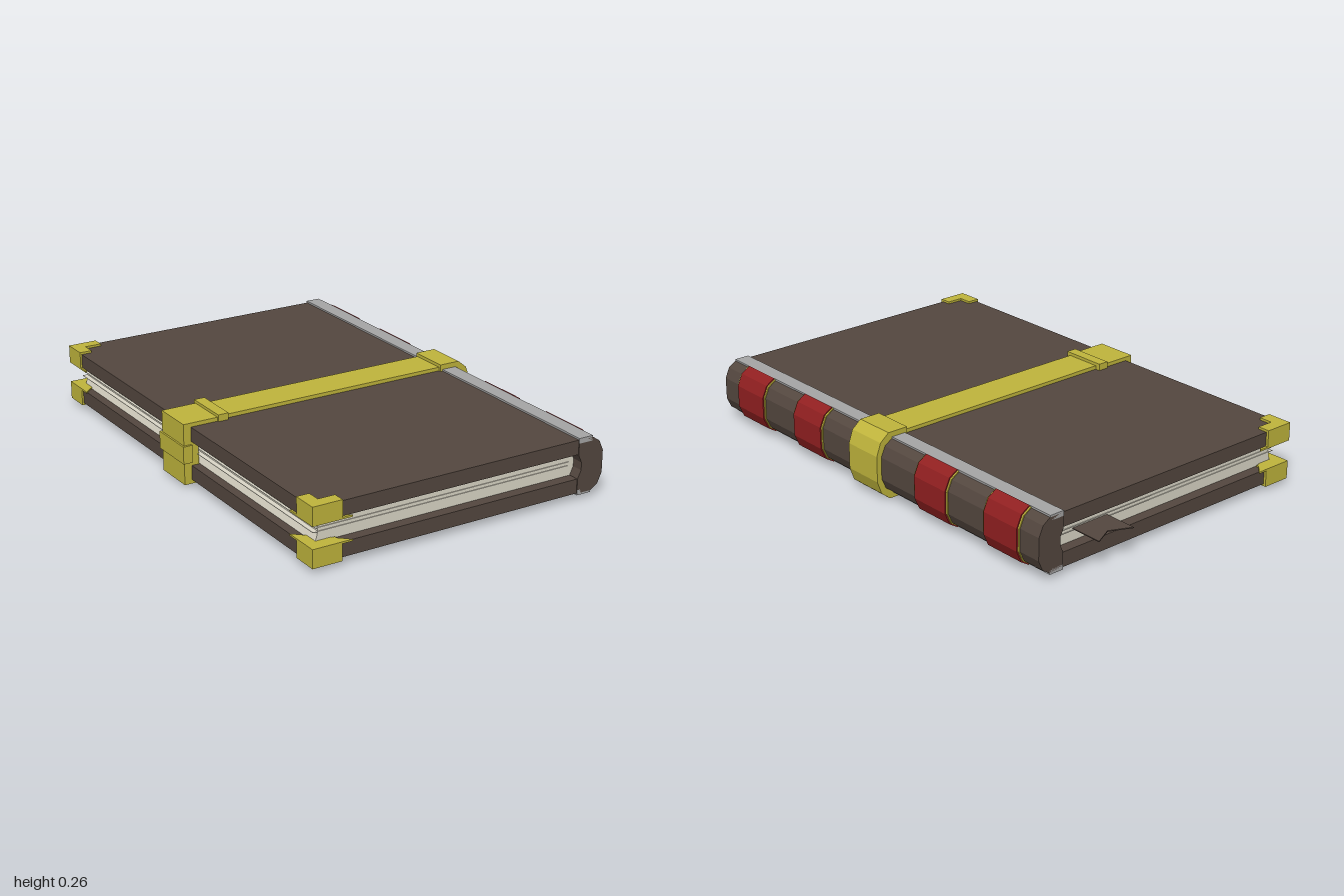
import * as THREE from 'three';

const mat = (name, color) => {
  const m = new THREE.MeshStandardMaterial({ color });
  m.name = name;
  return m;
};

export function createModel() {
  const leather = mat('brown leather', 0x54473f);
  const brass = mat('brass', 0xc0b53c);
  const red = mat('red label', 0x911f20);
  const grey = mat('grey hinge', 0xa6a6a6);
  const paper = mat('paper', 0xdcd8c8);

  const book = new THREE.Group();
  book.name = 'book';
  const MID = 0.1325; // height of the middle of the book

  const add = (name, geo, material) => {
    const mesh = new THREE.Mesh(geo, material);
    mesh.name = name;
    book.add(mesh);
    return mesh;
  };
  // box given by its ranges
  const box = (name, m, x0, x1, y0, y1, z0, z1) =>
    add(name, new THREE.BoxGeometry(x1 - x0, y1 - y0, z1 - z0)
      .translate((x0 + x1) / 2, (y0 + y1) / 2, (z0 + z1) / 2), m);
  const shapeOf = pts => new THREE.Shape(pts.map(p => new THREE.Vector2(p[0], p[1])));
  // [z, y] section drawn out along x
  const section = (name, m, pts, cx, width) =>
    add(name, new THREE.ExtrudeGeometry(shapeOf(pts), { depth: width, bevelEnabled: false })
      .rotateY(-Math.PI / 2).translate(cx + width / 2, 0, 0), m);
  // [x, z] plan drawn out along y
  const plan = (name, m, pts, y0, y1) =>
    add(name, new THREE.ExtrudeGeometry(shapeOf(pts), { depth: y1 - y0, bevelEnabled: false })
      .rotateX(Math.PI / 2).translate(0, y1, 0), m);
  // mirror a half profile of [z, height above the middle]
  const mirrored = half => [
    ...half.map(([z, h]) => [z, MID + h]),
    ...half.slice().reverse().map(([z, h]) => [z, MID - h]),
  ];
  const round = (start, g) => mirrored([
    [start, 0.103 + g], [-0.572, 0.103 + g], [-0.602 - g * 0.7, 0.083 + g * 0.7], [-0.62 - g, 0.043],
  ]);

  // covers and hinge strips, above and below
  for (const s of [1, -1]) {
    const side = s > 0 ? 'top' : 'bottom';
    const range = (a, b) => (s > 0 ? [MID + a, MID + b] : [MID - b, MID - a]);
    box(side + 'Cover', leather, -0.922, 0.922, ...range(0.047, 0.103), -0.56, 0.6);
    box(side + 'Hinge', grey, -0.925, 0.925, ...range(0.09, 0.11), -0.57, -0.51);

    // brass corners on the front edge
    for (const d of [1, -1]) {
      plan(side + 'Corner', brass, [
        [d * 0.932, 0.607], [d * 0.83, 0.607], [d * 0.83, 0.557],
        [d * 0.884, 0.557], [d * 0.884, 0.49], [d * 0.932, 0.49],
      ], ...range(0.041, 0.112));
      plan(side + 'CornerInside', brass, [
        [d * 0.932, 0.607], [d * 0.785, 0.607], [d * 0.932, 0.45],
      ], ...range(0.041, 0.048));
    }
  }

  // rounded spine, hollowed for the pages
  section('spine', leather, [
    ...round(-0.51, 0),
    [-0.51, MID - 0.045], [-0.524, MID - 0.015], [-0.524, MID + 0.015], [-0.51, MID + 0.045],
  ], 0, 1.85);

  // page block with a hollow front edge and a rounded back
  section('pages', paper, [
    [0.567, MID + 0.049], [0.557, MID + 0.02], [0.555, MID], [0.557, MID - 0.02], [0.567, MID - 0.049],
    [-0.512, MID - 0.049], [-0.53, MID - 0.015], [-0.53, MID + 0.015], [-0.512, MID + 0.049],
  ], 0, 1.76);
  box('looseSheet', paper, -0.883, 0.883, 0.124, 0.126, -0.5, 0.575);
  box('looseSheet', paper, -0.883, 0.883, 0.138, 0.14, -0.5, 0.565);

  // swallow-tailed ribbon
  plan('bookmark', leather, [
    [-0.86, -0.427], [-1.01, -0.427], [-0.972, -0.352], [-1.01, -0.266], [-0.86, -0.266],
  ], 0.129, 0.133);

  // spine labels with brass edging
  for (const x of [-0.74, -0.365, 0.365, 0.74]) {
    section('labelEdging', brass, round(-0.565, 0.004), x, 0.184);
    section('label', red, round(-0.572, 0.009), x, 0.17);
  }

  // strap around the book
  box('strapTop', brass, -0.072, 0.075, 0.23, 0.25, -0.52, 0.5);
  box('strapBottom', brass, -0.072, 0.075, 0.013, 0.035, -0.52, 0.6);
  section('strapBack', brass, mirrored([
    [-0.5, 0.13], [-0.585, 0.13], [-0.622, 0.1], [-0.64, 0.05],
  ]), 0.003, 0.166);
  box('strapEnd', brass, -0.083, 0.085, 0.23, 0.251, 0.48, 0.63);
  box('strapFront', brass, -0.083, 0.085, 0.014, 0.251, 0.57, 0.63);
  box('clasp', brass, -0.092, 0.094, 0.1, 0.168, 0.6, 0.637);
  box('buckle', brass, -0.092, 0.092, 0.23, 0.262, 0.447, 0.49);

  // the book lies slightly turned
  book.rotation.y = -0.125;
  const model = new THREE.Group();
  model.name = 'model';
  model.add(book);
  return model;
}
